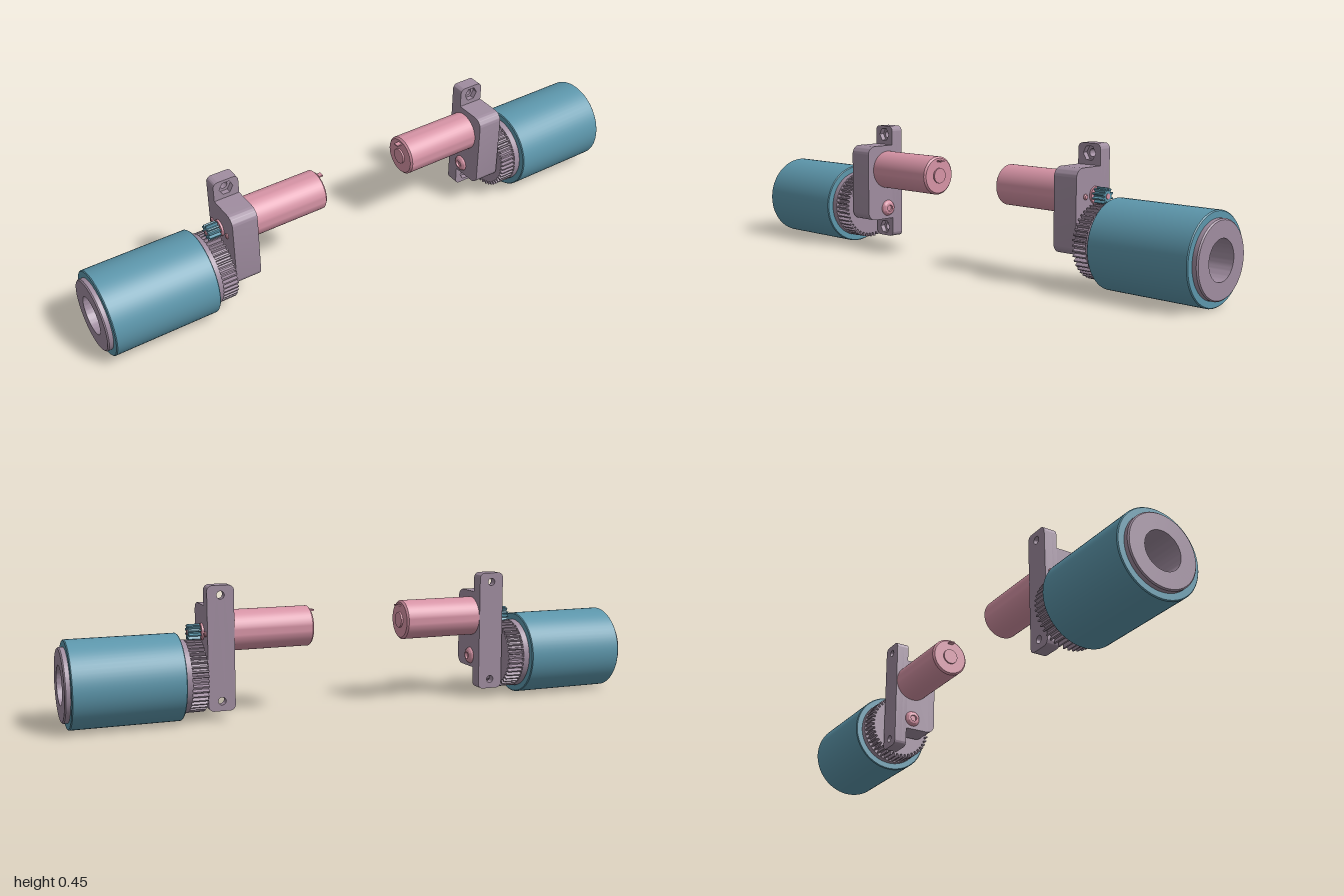
import * as THREE from 'three';
import { toCreasedNormals } from 'three/addons/utils/BufferGeometryUtils.js';

const AXLE_Y = 0.145, MOTOR_Y = 0.289;

// solid of revolution about the x axis; points are [x, radius] going towards +x
function turned(points, y, z = 0, segments = 48) {
  const g = new THREE.LatheGeometry(points.map(([x, r]) => new THREE.Vector2(r, x)), segments);
  g.rotateZ(-Math.PI / 2);
  return toCreasedNormals(g, 0.4).translate(0, y, z);
}

const rod = (x0, x1, r, y, z = 0, seg = 32) => turned([[x0, 0], [x0, r], [x1, r], [x1, 0]], y, z, seg);

// extrude a shape drawn in (-z, y) along x
function alongX(shape, x0, x1) {
  const g = new THREE.ExtrudeGeometry(shape, { depth: x1 - x0, bevelEnabled: false, curveSegments: 10 });
  return toCreasedNormals(g.rotateY(Math.PI / 2).translate(x0, 0, 0), 0.4);
}

// toothed wheel outline with a round bore
function gearShape(teeth, rRoot, rTip, bore, phase = 0) {
  const pts = [];
  for (let i = 0; i < teeth; i++) {
    for (const [t, r] of [[-0.3, rRoot], [-0.14, rTip], [0.14, rTip], [0.3, rRoot]]) {
      const a = (i + t + phase) / teeth * Math.PI * 2;
      pts.push(new THREE.Vector2(Math.cos(a) * r, Math.sin(a) * r));
    }
  }
  const s = new THREE.Shape(pts);
  s.holes.push(new THREE.Path().absarc(0, 0, bore, 0, Math.PI * 2, true));
  return s;
}

// rounded rectangle with a radius for each corner: lower left, lower right, upper right, upper left
function roundedRect(x0, y0, x1, y1, [a, b, c, d]) {
  const s = new THREE.Shape();
  s.moveTo(x0 + a, y0).lineTo(x1 - b, y0);
  if (b) s.absarc(x1 - b, y0 + b, b, -Math.PI / 2, 0);
  s.lineTo(x1, y1 - c);
  if (c) s.absarc(x1 - c, y1 - c, c, 0, Math.PI / 2);
  s.lineTo(x0 + d, y1);
  if (d) s.absarc(x0 + d, y1 - d, d, Math.PI / 2, Math.PI);
  s.lineTo(x0, y0 + a);
  if (a) s.absarc(x0 + a, y0 + a, a, Math.PI, Math.PI * 1.5);
  return s;
}

// slice of the mounting plate with round or hexagonal screw holes
function plate(z0, z1, radius, sides) {
  const s = roundedRect(0.447, 0.034, 0.537, 0.447, [0.018, 0.018, 0.018, 0.018]);
  for (const y of [0.067, 0.415]) {
    const pts = [];
    for (let i = 0; i < sides; i++) {
      const a = -i / sides * Math.PI * 2;
      pts.push(new THREE.Vector2(0.492 + Math.cos(a) * radius, y + Math.sin(a) * radius));
    }
    s.holes.push(new THREE.Path(pts));
  }
  const g = new THREE.ExtrudeGeometry(s, { depth: z1 - z0, bevelEnabled: false, curveSegments: 8 });
  return toCreasedNormals(g.translate(0, 0, z0), 0.4);
}

// reflected copy in x with the corner order put right
function mirrored(geometry) {
  const g = geometry.index ? geometry.toNonIndexed() : geometry.clone();
  g.scale(-1, 1, 1);
  for (const attr of Object.values(g.attributes)) {
    const n = attr.itemSize, arr = attr.array;
    for (let i = 0; i < arr.length; i += 3 * n) {
      for (let k = 0; k < n; k++) {
        const t = arr[i + n + k];
        arr[i + n + k] = arr[i + 2 * n + k];
        arr[i + 2 * n + k] = t;
      }
    }
  }
  return g;
}

export function createModel() {
  const material = (name, color) => {
    const m = new THREE.MeshStandardMaterial({ color });
    m.name = name;
    return m;
  };
  const teal = material('teal rubber', 0x5d97ac);
  const mauve = material('mauve plastic', 0xa08da0);
  const pink = material('pink metal', 0xd794a6);

  const parts = [];
  const add = (name, geometry, mat) => parts.push([name, geometry, mat]);

  // wheel: tyre sleeve and deeply bored hub
  add('tyre', turned([[0.622, 0.119], [0.622, 0.141], [0.625, 0.144], [0.979, 0.144], [0.982, 0.141], [0.982, 0.119]], AXLE_Y, 0, 64), teal);
  add('wheelHub', turned([[0.6, 0], [0.6, 0.121], [0.996, 0.121], [1, 0.117], [1, 0.064], [0.68, 0.064], [0.68, 0]], AXLE_Y, 0, 64), mauve);

  // drive gear and pinion
  const gear = alongX(gearShape(44, 0.107, 0.12, 0.02), 0.545, 0.601);
  add('driveGear', gear.translate(0, AXLE_Y, 0), mauve);
  const pinion = alongX(gearShape(10, 0.017, 0.027, 0.008, 0.5), 0.546, 0.587);
  add('pinion', pinion.translate(0, MOTOR_Y, 0), teal);

  // bracket: body block and plate with hexagonal nut pockets
  add('bracketBody', alongX(roundedRect(-0.092, 0.105, 0.024, 0.378, [0.03, 0, 0, 0.032]), 0.447, 0.537), mauve);
  add('bracketPlateBack', plate(-0.07, -0.042, 0.013, 24), mauve);
  add('bracketPlateFront', plate(-0.042, -0.024, 0.025, 6), mauve);

  // axle bolt with domed, recessed head
  add('axleBolt', turned([[0.441, 0], [0.441, 0.011], [0.434, 0.012], [0.436, 0.02], [0.441, 0.026], [0.447, 0.029],
    [0.447, 0.018], [0.7, 0.018], [0.7, 0]], AXLE_Y, 0, 32), pink);
  add('axleCollar', rod(0.537, 0.546, 0.026, AXLE_Y), pink);
  add('axleNut', turned([[0.675, 0.018], [0.675, 0.034], [0.689, 0.034], [0.693, 0.03], [0.693, 0.018]], AXLE_Y), pink);

  // motor can, end boss and terminal
  add('motorCan', turned([[0.17, 0], [0.17, 0.062], [0.176, 0.068], [0.46, 0.068], [0.46, 0]], MOTOR_Y), pink);
  add('motorEndBoss', rod(0.164, 0.172, 0.027, MOTOR_Y), pink);
  add('motorTerminal', new THREE.BoxGeometry(0.024, 0.005, 0.018).translate(0.163, 0.341, 0), pink);

  // motor nose, shaft and fixing screws
  add('motorNose', rod(0.535, 0.544, 0.028, MOTOR_Y), pink);
  add('motorShaft', rod(0.535, 0.589, 0.009, MOTOR_Y, 0, 20), pink);
  for (const z of [-0.049, 0.049]) {
    add('motorScrew', turned([[0.535, 0], [0.535, 0.009], [0.54, 0.009], [0.543, 0.006], [0.543, 0]], MOTOR_Y - 0.002, z, 16), pink);
  }

  // left unit and its reflection
  const model = new THREE.Group();
  model.name = 'geared wheel pair';
  for (const side of ['left', 'right']) {
    const unit = new THREE.Group();
    unit.name = side + 'DriveUnit';
    for (const [name, geometry, mat] of parts) {
      const mesh = new THREE.Mesh(side === 'left' ? geometry : mirrored(geometry), mat);
      mesh.name = name;
      unit.add(mesh);
    }
    model.add(unit);
  }
  return model;
}
